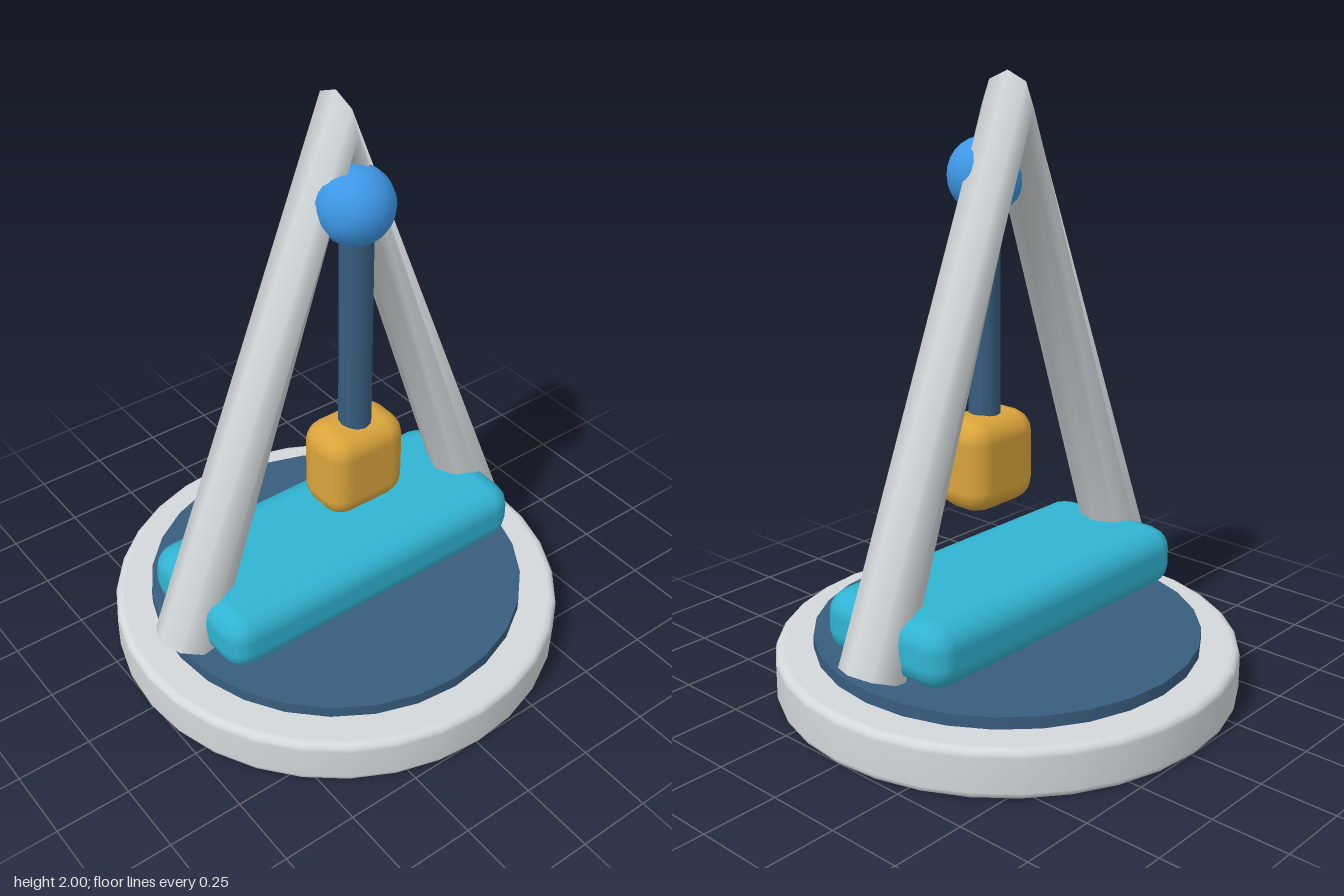
import * as THREE from 'three';
import { RoundedBoxGeometry } from 'three/addons/geometries/RoundedBoxGeometry.js';

const material = (name, color) => {
  const m = new THREE.MeshStandardMaterial({ color });
  m.name = name;
  return m;
};

export function createModel() {
  const grey = material('light grey', 0xd3d8da);
  const navy = material('navy', 0x385d7e);
  const teal = material('teal', 0x31b3d2);
  const gold = material('gold', 0xdaa43b);
  const blue = material('blue', 0x3d97e6);

  const model = new THREE.Group();
  model.name = 'pendulumStand';
  const add = (name, geometry, mat, x = 0, y = 0, z = 0, parent = model) => {
    const mesh = new THREE.Mesh(geometry, mat);
    mesh.name = name;
    mesh.position.set(x, y, z);
    parent.add(mesh);
    return mesh;
  };

  // Round base with softened rims
  const R = 0.766, H = 0.16, b = 0.024;
  const profile = [[0, 0], [R - b - 0.004, 0]];
  for (let i = 0; i <= 3; i++) {
    const a = (i / 3) * Math.PI / 2;
    profile.push([R - b + b * Math.sin(a), b - b * Math.cos(a)]);
  }
  for (let i = 0; i <= 3; i++) {
    const a = (i / 3) * Math.PI / 2;
    profile.push([R - b + b * Math.cos(a), H - b + b * Math.sin(a)]);
  }
  profile.push([R - b - 0.004, H], [0, H]);
  add('base', new THREE.LatheGeometry(profile.map(p => new THREE.Vector2(...p)), 32), grey);

  // Inset disc on the base
  add('baseDisc', new THREE.CylinderGeometry(0.64, 0.64, 0.06, 28), navy, 0, 0.17, 0);

  // A-shaped frame: one eight-sided tube bent at the apex, closed at the feet
  const frame = new THREE.Group();
  frame.name = 'frame';
  model.add(frame);
  const footX = 0.61, footY = 0.24, apexY = 1.895, r = 0.105;
  const apex = new THREE.Vector3(0, apexY, 0);
  const path = new THREE.CurvePath();
  path.add(new THREE.LineCurve3(new THREE.Vector3(-footX, footY, 0), apex));
  path.add(new THREE.LineCurve3(apex, new THREE.Vector3(footX, footY, 0)));
  add('frameLegs', new THREE.TubeGeometry(path, 2, r, 8, false), grey, 0, 0, 0, frame);
  const lean = Math.atan2(footX, apexY - footY);
  for (const side of [-1, 1]) {
    const cap = new THREE.CircleGeometry(r, 8).rotateX(Math.PI / 2).rotateZ(side * lean);
    add(side > 0 ? 'leftFootCap' : 'rightFootCap', cap, grey, side * footX, footY, 0, frame);
  }

  // Rounded crossbar between the feet
  add('crossbar', new RoundedBoxGeometry(1.18, 0.21, 0.52, 2, 0.08), teal, 0, 0.335, 0);

  // Pendulum: pivot ball, rod and weight
  const pendulum = new THREE.Group();
  pendulum.name = 'pendulum';
  pendulum.position.z = 0.095;
  model.add(pendulum);
  add('pivotBall', new THREE.SphereGeometry(0.122, 20, 14), blue, 0, 1.678, -0.005, pendulum);
  add('rod', new THREE.CylinderGeometry(0.053, 0.053, 1.08, 12), navy, 0, 1.14, 0.005, pendulum);
  add('weight', new RoundedBoxGeometry(0.3, 0.31, 0.21, 2, 0.075), gold, 0, 0.76, 0, pendulum);

  return model;
}
